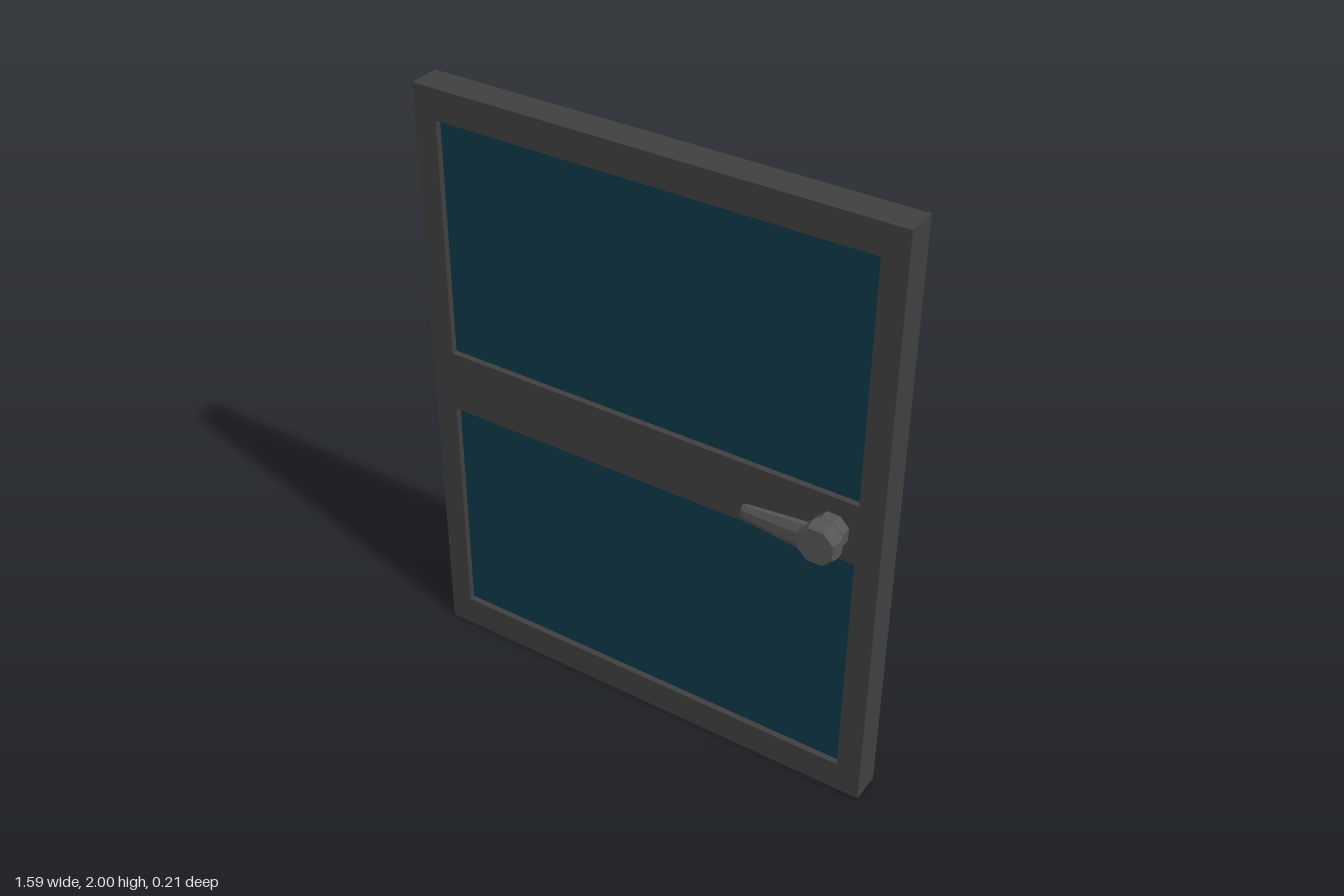
import * as THREE from 'three';

const material = (color) => new THREE.MeshStandardMaterial({ color, flatShading: true });

function part(name, geometry, mat) {
  const mesh = new THREE.Mesh(geometry, mat);
  mesh.name = name;
  return mesh;
}

function rect(target, x0, y0, x1, y1) {
  target.moveTo(x0, y0);
  target.lineTo(x1, y0);
  target.lineTo(x1, y1);
  target.lineTo(x0, y1);
  target.closePath();
  return target;
}

export function createModel() {
  const group = new THREE.Group();
  group.name = 'door';
  const frameMat = material(0x404040);
  const glassMat = material(0x0f3848);
  const handleMat = material(0x555555);

  const depth = 0.105, left = -0.718, right = 0.715;
  const openings = [
    { name: 'lowerPanel', y0: 0.105, y1: 0.9 },
    { name: 'upperPanel', y0: 1.108, y1: 1.9 },
  ];

  // Frame with two openings, each holding a recessed panel
  const outline = rect(new THREE.Shape(), -0.795, 0, 0.795, 2);
  for (const o of openings) {
    outline.holes.push(rect(new THREE.Path(), left, o.y0, right, o.y1));
    const panel = part(o.name, new THREE.BoxGeometry(right - left, o.y1 - o.y0, 0.055), glassMat);
    panel.position.set((left + right) / 2, (o.y0 + o.y1) / 2, -0.0475);
    group.add(panel);
  }
  const frame = new THREE.ExtrudeGeometry(outline, { depth, bevelEnabled: false });
  frame.translate(0, 0, -depth);
  group.add(part('frame', frame, frameMat));

  // Handle: flared octagonal knob with a tapering lever
  const handle = new THREE.Group();
  handle.name = 'handle';
  handle.position.set(0.638, 1, 0);
  const profile = [[0.056, 0], [0.056, 0.035], [0.068, 0.056], [0.068, 0.094], [0.061, 0.103], [0, 0.103]];
  const knob = new THREE.LatheGeometry(profile.map(([r, h]) => new THREE.Vector2(r, h)), 8, Math.PI / 8);
  knob.rotateX(Math.PI / 2);
  handle.add(part('knob', knob, handleMat));

  // Eight-sided bar along x, thinner in y and z toward its tip
  const lever = new THREE.CylinderGeometry(1, 1, 1, 8, 2, false, Math.PI / 8);
  lever.rotateZ(Math.PI / 2);
  const p = lever.attributes.position;
  const rings = [[-0.253, 0.025, 0.013, 0.072], [-0.24, 0.029, 0.015, 0.072], [-0.02, 0.053, 0.025, 0.075]];
  for (let i = 0; i < p.count; i++) {
    const [x, ry, rz, cz] = rings[Math.round((p.getX(i) + 0.5) * 2)];
    p.setXYZ(i, x, p.getY(i) * ry, cz + p.getZ(i) * rz);
  }
  lever.computeVertexNormals();
  handle.add(part('lever', lever, handleMat));
  group.add(handle);

  return group;
}
